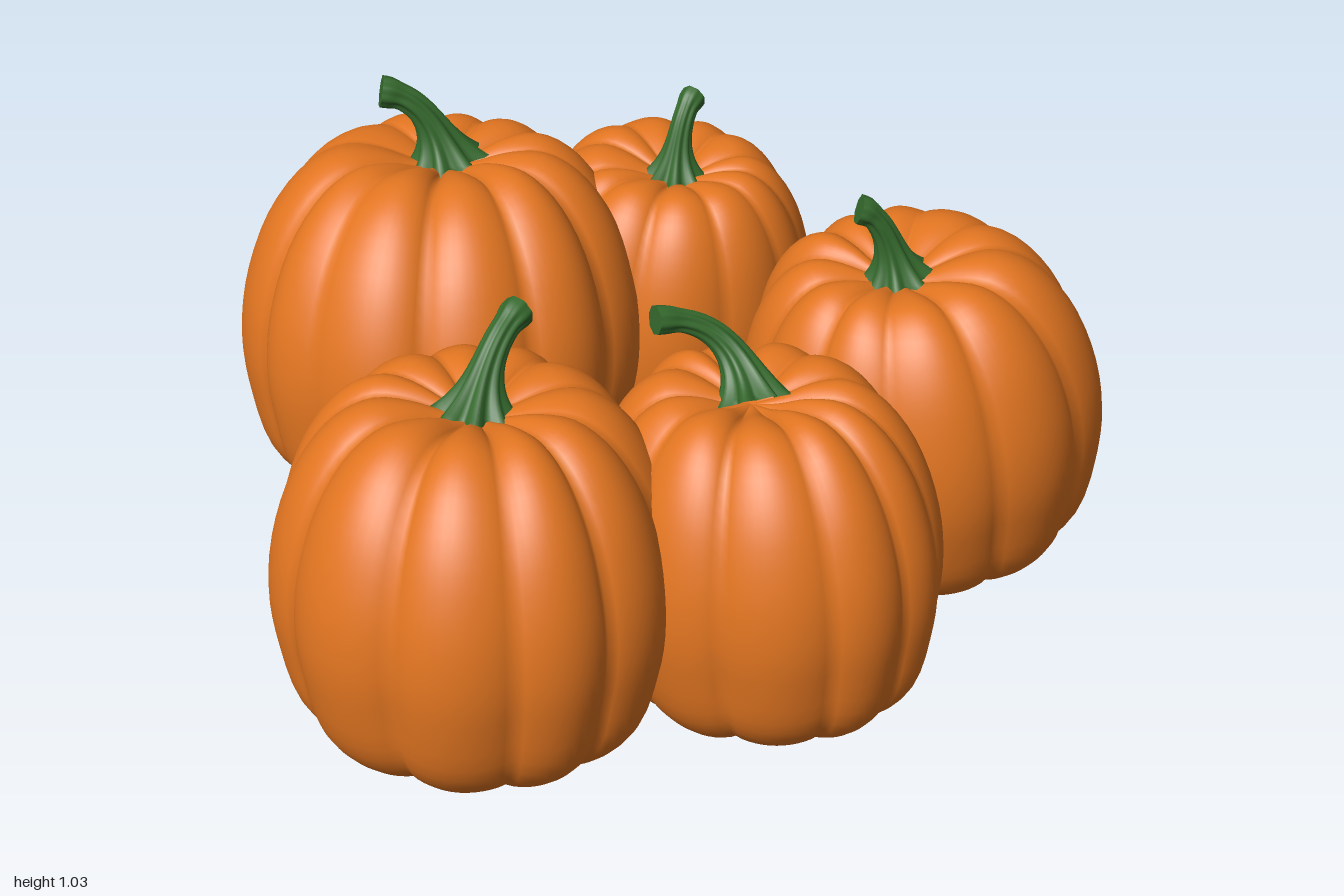
import * as THREE from 'three';

const LOBES = 11, LOBE_STEPS = 12;
const orange = new THREE.MeshStandardMaterial({ color: 0xe27521 });
orange.name = 'pumpkin orange';
const green = new THREE.MeshStandardMaterial({ color: 0x35692d });
green.name = 'stem green';

// Each pumpkin: body centre, widest radii (x, z), height, stem foot and bend (x, z), stem tip, stem size, seed
const PUMPKINS = [
  { name: 'backPumpkin', c: [-0.05, 0.47, -0.505], R: [0.468, 0.462], H: 0.82, foot: [0.02, -0.57], bend: [0.005, -0.595], tip: [-0.085, 1.0, -0.66], k: 1.05, seed: 3 },
  { name: 'backLeftPumpkin', c: [0.495, 0.41, -0.355], R: [0.355, 0.362], H: 0.72, foot: [0.49, -0.31], bend: [0.505, -0.315], tip: [0.565, 0.895, -0.33], k: 0.85, seed: 11 },
  { name: 'rightPumpkin', c: [-0.57, 0.413, 0.245], R: [0.435, 0.443], H: 0.79, foot: [-0.53, 0.21], bend: [-0.49, 0.2], tip: [-0.385, 0.925, 0.175], k: 1, seed: 23 },
  { name: 'frontPumpkin', c: [-0.045, 0.395, 0.555], R: [0.365, 0.405], H: 0.75, foot: [-0.045, 0.51], bend: [0, 0.4], tip: [-0.165, 0.89, 0.345], k: 0.9, seed: 37 },
  { name: 'leftPumpkin', c: [0.6, 0.403, 0.385], R: [0.405, 0.415], H: 0.765, foot: [0.53, 0.365], bend: [0.51, 0.35], tip: [0.46, 0.905, 0.31], k: 0.95, seed: 51 },
];

// Body outline: fraction of the radius, fraction of the height
const outline = new THREE.SplineCurve([
  [0, 0.025], [0.12, 0.015], [0.28, 0], [0.47, 0.005], [0.7, 0.045], [0.88, 0.15], [0.97, 0.32], [1, 0.47],
  [0.97, 0.63], [0.87, 0.8], [0.71, 0.93], [0.52, 0.995], [0.32, 0.99], [0.14, 0.95], [0, 0.93],
].map(([r, y]) => new THREE.Vector2(r, y)));

function seeded(seed) {
  let s = seed * 7919 + 17;
  return () => (s = (s * 16807) % 2147483647) / 2147483647;
}

// Closed tube of rings; at(i, j) gives the point on ring i, column j
function ringGeometry(rings, cols, at) {
  const pos = [], index = [];
  for (let i = 0; i < rings; i++) {
    for (let j = 0; j < cols; j++) {
      pos.push(...at(i, j).toArray());
      if (i === rings - 1) continue;
      const a = i * cols + j, b = i * cols + (j + 1) % cols;
      index.push(a, b, a + cols, b, b + cols, a + cols);
    }
  }
  const g = new THREE.BufferGeometry();
  g.setAttribute('position', new THREE.Float32BufferAttribute(pos, 3));
  g.setIndex(index);
  g.computeVertexNormals();
  return g;
}

// Ribbed body around its own origin: uneven lobes, creases of varied depth, crown pulled sideways
function bodyGeometry([rx, rz], H, pull, seed) {
  const rnd = seeded(seed);
  const widths = Array.from({ length: LOBES }, () => 0.75 + 0.5 * rnd());
  const creases = widths.map(() => 0.915 + 0.045 * rnd());
  const total = widths.reduce((a, b) => a + b);
  const columns = [];
  let start = rnd() * Math.PI * 2;
  widths.forEach((w, n) => {
    const size = 0.98 + 0.02 * rnd(), span = w / total * Math.PI * 2;
    for (let k = 0; k < LOBE_STEPS; k++) {
      const t = k / LOBE_STEPS, bulge = Math.pow(Math.sin(Math.PI * t), 0.75);
      const floor = THREE.MathUtils.lerp(creases[n], creases[(n + 1) % LOBES], t);
      columns.push({ a: start + span * t, f: floor + (size - floor) * bulge });
    }
    start += span;
  });
  const rings = 49, pts = outline.getPoints(rings - 1);
  return ringGeometry(rings, columns.length, (i, j) => {
    const { a, f } = columns[j], p = pts[i];
    // Creases fade toward both poles and are shallower underneath
    const fade = THREE.MathUtils.smoothstep(p.x, 0, 0.3) * (0.5 + 0.5 * THREE.MathUtils.smoothstep(p.y, 0, 0.3));
    const s = 1 + (f - 1) * fade, r = p.x * s;
    const shift = THREE.MathUtils.smoothstep(p.y, 0.5, 0.9) * (1 - p.x);
    return new THREE.Vector3(
      r * rx * Math.sin(a) + pull.x * shift, (p.y - 0.5) * H * s, r * rz * Math.cos(a) + pull.y * shift);
  });
}

// Fluted stem that flares at the foot and ends in a cut, slightly swollen tip
function stemGeometry(foot, bend, tip, k) {
  const curve = new THREE.QuadraticBezierCurve3(foot, new THREE.Vector3(bend[0], tip.y - 0.02, bend[1]), tip);
  const steps = 24, cols = 48;
  const frames = curve.computeFrenetFrames(steps, false);
  return ringGeometry(steps + 3, cols, (i, j) => {
    const n = Math.min(i, steps), s = n / steps, a = j / cols * Math.PI * 2;
    const flare = Math.pow(1 - s, 4);
    const swell = THREE.MathUtils.smoothstep(s, 0.8, 0.95);
    const ribs = 1 + (0.09 + 0.13 * flare) * Math.cos(8 * a) * (1 - 0.6 * swell);
    const r = i === steps + 2 ? 0 : k * (0.027 + 0.053 * flare + 0.007 * swell) * ribs;
    return curve.getPointAt(s)
      .addScaledVector(frames.normals[n], r * Math.cos(a))
      .addScaledVector(frames.binormals[n], r * Math.sin(a));
  });
}

function makePumpkin({ name, c, R, H, foot, bend, tip, k, seed }) {
  const group = new THREE.Group();
  group.name = name;
  const reach = 0.43 * H;
  // The body leans half way to the stem foot; the crown is pulled the other half
  const half = new THREE.Vector2(foot[0] - c[0], foot[1] - c[2]).multiplyScalar(0.5);
  const axis = new THREE.Vector3(half.x, reach, half.y).normalize();

  const tilted = new THREE.Group();
  tilted.name = 'tiltedBody';
  tilted.position.set(...c);
  tilted.quaternion.setFromUnitVectors(new THREE.Vector3(0, 1, 0), axis);
  const body = new THREE.Mesh(bodyGeometry(R, H, half, seed), orange);
  body.name = 'body';
  // Blossom scar underneath
  const scar = new THREE.Mesh(new THREE.SphereGeometry(0.045 * k, 16, 8), green);
  scar.name = 'blossomScar';
  scar.scale.y = 0.4;
  scar.position.y = -0.48 * H;
  tilted.add(body, scar);

  const stem = new THREE.Mesh(stemGeometry(
    new THREE.Vector3(foot[0], c[1] + reach, foot[1]), bend, new THREE.Vector3(...tip), k), green);
  stem.name = 'stem';
  group.add(tilted, stem);
  return group;
}

export function createModel() {
  const model = new THREE.Group();
  model.name = 'pumpkinCluster';
  for (const p of PUMPKINS) model.add(makePumpkin(p));
  // Rest the lowest body on the ground
  model.updateMatrixWorld(true);
  const low = new THREE.Box3().setFromObject(model, true).min.y;
  for (const p of model.children) p.position.y -= low;
  return model;
}
